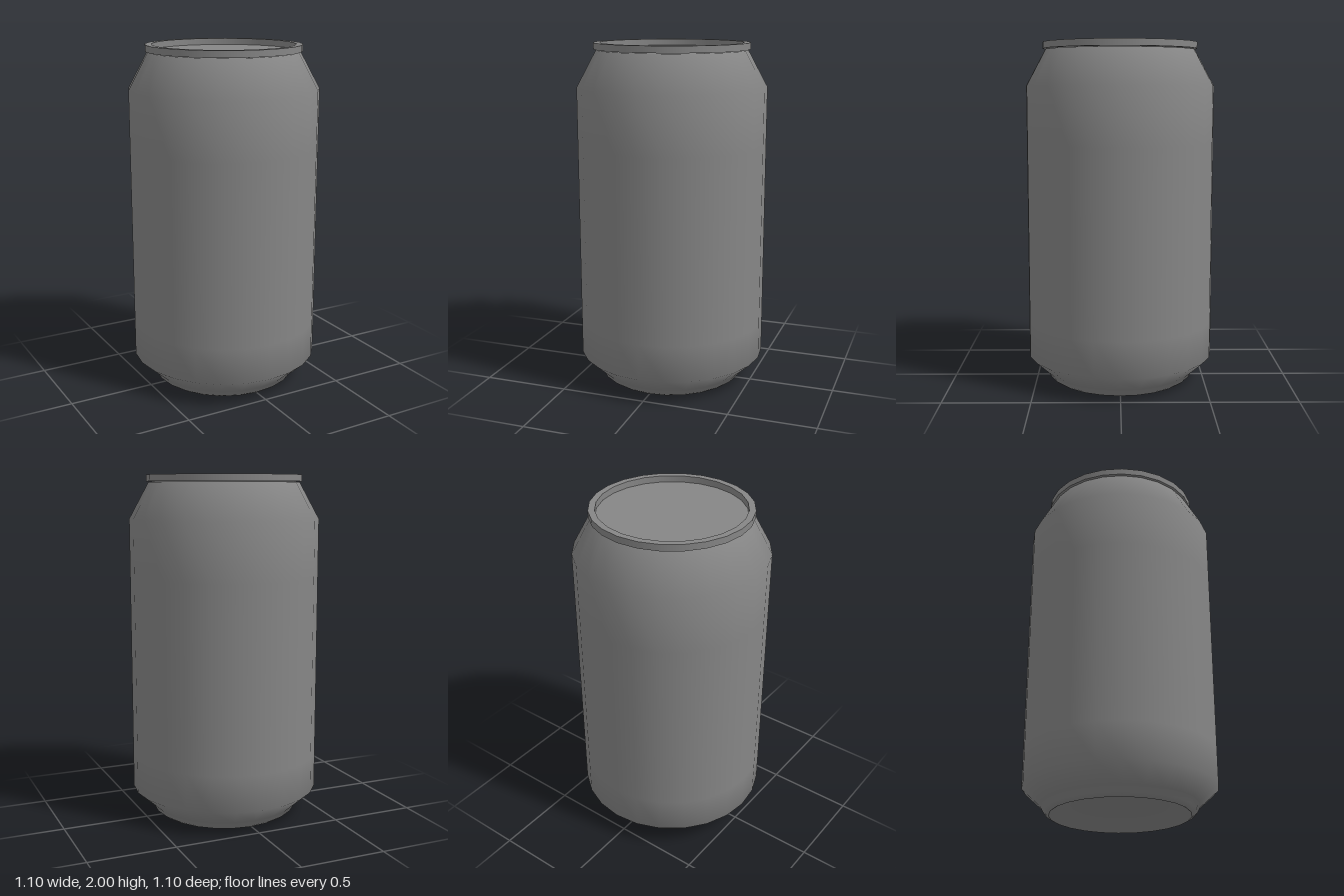
import * as THREE from 'three';
import { mergeGeometries } from 'three/addons/utils/BufferGeometryUtils.js';

const SIDES = 24;

// Smooth surface of revolution; profile points run from the bottom centre, outward and up
function lathe(profile) {
  return new THREE.LatheGeometry(profile.map(([r, y]) => new THREE.Vector2(r, y)), SIDES);
}

// Surface of revolution with a hard edge at every profile point
function hardLathe(profile) {
  return mergeGeometries(profile.slice(1).map((p, i) => lathe([profile[i], p])));
}

export function createModel() {
  const can = new THREE.Group();
  can.name = 'drinkCan';
  const material = new THREE.MeshStandardMaterial({ color: 0x868686 });

  const add = (name, geometry) => {
    const mesh = new THREE.Mesh(geometry, material);
    mesh.name = name;
    can.add(mesh);
  };

  // Concave base
  add('baseDome', lathe([[0, 0.11], [0.13, 0.1], [0.25, 0.07], [0.34, 0.03], [0.395, 0]]));

  // Foot, wall, shoulder and neck in one smooth shell, turned in under the rim
  add('body', lathe([
    [0.395, 0], [0.405, 0.005], [0.425, 0.02], [0.445, 0.055], [0.55, 0.15],
    [0.55, 0.36], [0.55, 1.42], [0.55, 1.75], [0.437, 1.958], [0.41, 1.96],
  ]));

  // Raised rim with square edges
  add('rim', hardLathe([[0.41, 1.962], [0.45, 1.962], [0.45, 2], [0.413, 2], [0.413, 1.962]]));

  // Flat lid sunk inside the rim
  add('lid', lathe([[0.413, 1.963], [0, 1.963]]));

  can.rotation.y = -0.015;
  return can;
}
